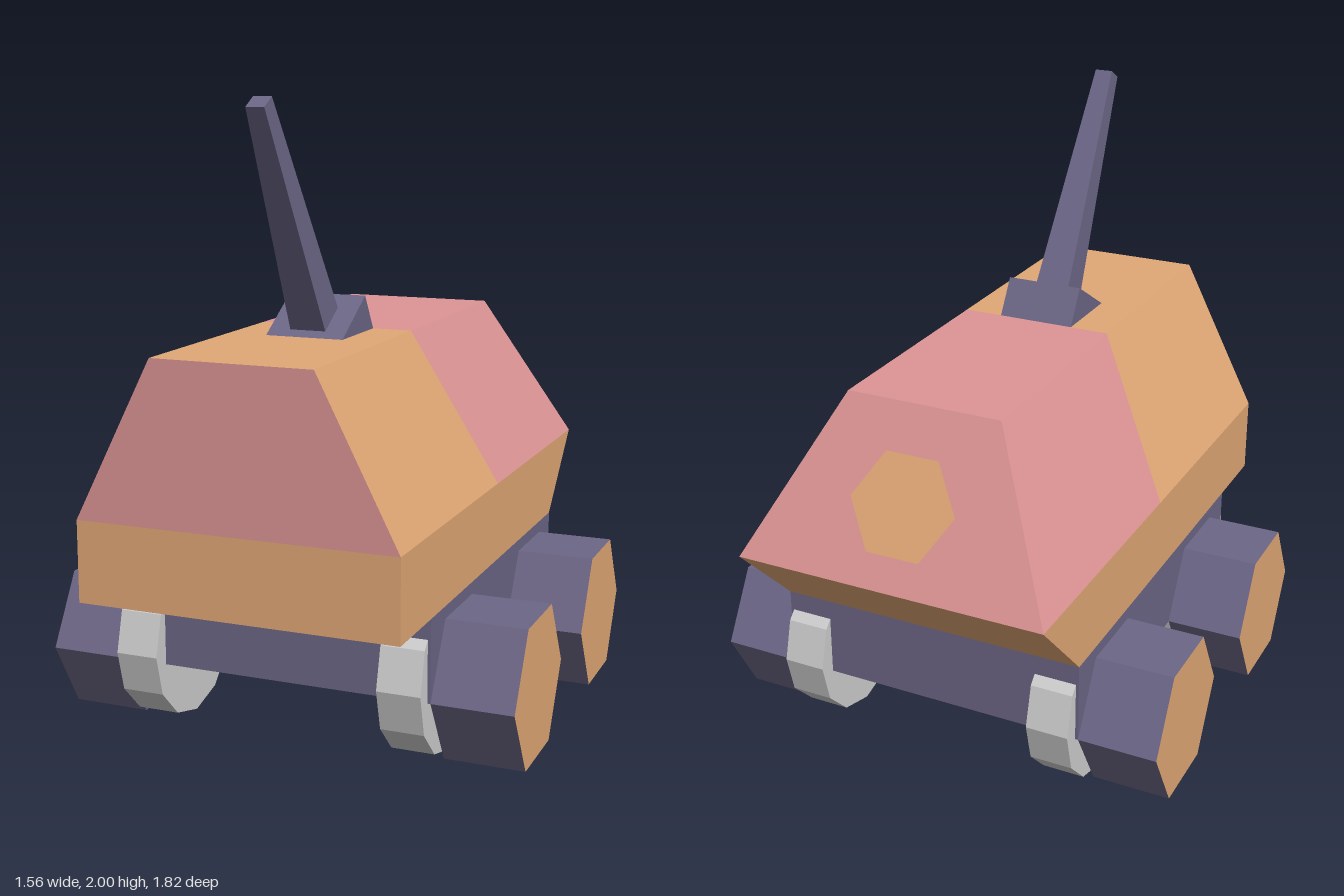
import * as THREE from 'three';

const paint = (name, color) => {
  const m = new THREE.MeshStandardMaterial({ color, flatShading: true });
  m.name = name;
  return m;
};

export function createModel() {
  const model = new THREE.Group();
  model.name = 'armouredVehicle';
  const orange = paint('orange', 0xe0a775);
  const pink = paint('pink', 0xde9595);
  const purple = paint('purple', 0x6c6686);
  const grey = paint('lightGrey', 0xcdcdcd);

  const add = (name, geometry, material, x = 0, y = 0, z = 0) => {
    const mesh = new THREE.Mesh(geometry, material);
    mesh.name = name;
    mesh.position.set(x, y, z);
    model.add(mesh);
    return mesh;
  };

  // Joins convex polygons into one flat-shaded geometry
  const polygons = (faces) => {
    const pos = [];
    for (const f of faces)
      for (let i = 1; i < f.length - 1; i++) pos.push(...f[0], ...f[i], ...f[i + 1]);
    const g = new THREE.BufferGeometry();
    g.setAttribute('position', new THREE.Float32BufferAttribute(pos, 3));
    g.computeVertexNormals();
    return g;
  };

  // Hull corners on the left side; the right side is mirrored
  const A = [0.52, 0.49, 0.91], B = [0.52, 0.75, 0.91], C = [0.26, 1.26, 0.91];
  const D = [0.26, 1.26, 0.13], E = [0.52, 0.75, 0];
  const F = [0.26, 1.26, -0.65], G = [0.52, 0.75, -0.91], H = [0.52, 0.49, -0.65];
  const mirror = ([x, y, z]) => [-x, y, z];
  const mirrored = (f) => f.map(mirror).reverse();
  const across = (p, q) => [mirror(p), p, q, mirror(q)];
  const lowerSide = [A, H, G, E, B], frontSide = [B, E, D, C], rearSide = [E, G, F, D];

  add('hullOrangePanels', polygons([
    lowerSide, mirrored(lowerSide), frontSide, mirrored(frontSide),
    across(A, B), across(C, D), across(G, H), across(H, A),
  ]), orange);
  add('hullPinkPanels', polygons([
    rearSide, mirrored(rearSide), across(B, C), across(D, F), across(F, G),
  ]), pink);

  // Hexagonal badge lying on the sloped rear
  const normal = new THREE.Vector3(0, 0.26, -0.51).normalize();
  const badge = add('rearHexagon', new THREE.CircleGeometry(0.178, 6), orange, 0, 0.985, -0.79);
  badge.quaternion.setFromUnitVectors(new THREE.Vector3(0, 0, 1), normal);
  badge.position.addScaledVector(normal, 0.004);

  // Chassis
  add('chassis', new THREE.BoxGeometry(1.04, 0.265, 1.3), purple, 0, 0.3575, 0);

  // Wheels: hexagonal outside, round ones with hubs further in
  const disc = (r, width, sides) =>
    new THREE.CylinderGeometry(r, r, width, sides).rotateZ(-Math.PI / 2);
  for (const sx of [-1, 1]) {
    for (const sz of [-1, 1]) {
      const caps = sx > 0 ? [purple, orange, purple] : [purple, purple, orange];
      add('hexagonalWheel', disc(0.26, 0.26, 6), caps, sx * 0.65, 0.225, sz * 0.39);
      add('innerWheel', disc(0.265, 0.14, 12), grey, sx * 0.44, 0.265, sz * 0.447);
      add('innerHub', disc(0.1, 0.03, 8), grey, sx * 0.36, 0.265, sz * 0.447);
    }
  }

  // Wedge mount, drawn in (z, y) and extruded across x
  const wedge = new THREE.Shape([[0.39, 1.26], [0.2, 1.375], [0.13, 1.26]]
    .map(([z, y]) => new THREE.Vector2(-z, y)));
  const wedgeGeometry = new THREE.ExtrudeGeometry(wedge, { depth: 0.26, bevelEnabled: false });
  wedgeGeometry.translate(0, 0, -0.13).rotateY(Math.PI / 2);
  add('barrelMount', wedgeGeometry, purple);

  // Tapered square barrel leaning forward
  const barrelGeometry = new THREE.CylinderGeometry(0.03 * Math.SQRT2, 0.06 * Math.SQRT2, 0.79, 4);
  barrelGeometry.rotateY(Math.PI / 4);
  const barrel = add('barrel', barrelGeometry, purple, 0, 1.645, 0.503);
  barrel.rotation.x = Math.PI / 6;

  return model;
}
